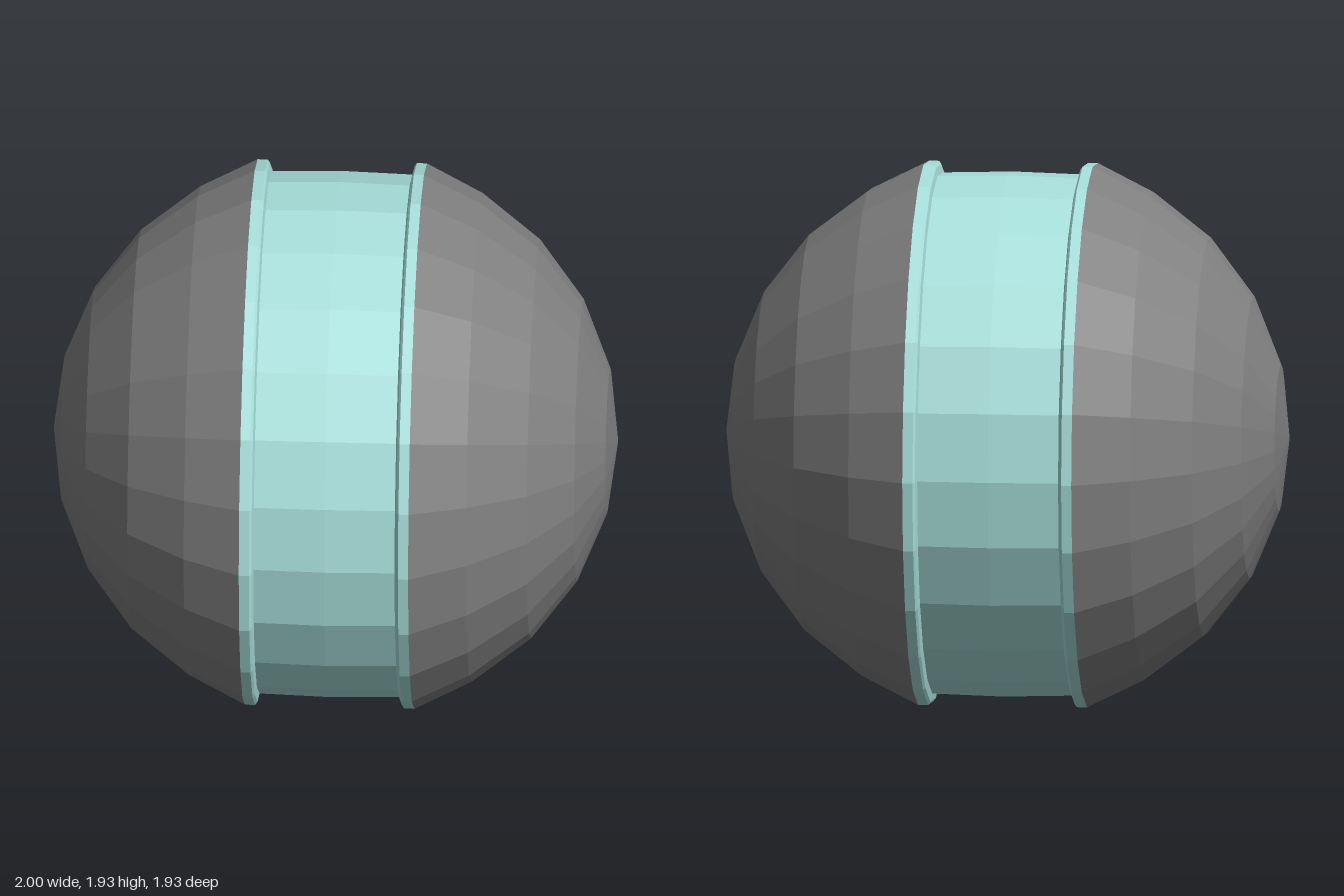
import * as THREE from 'three';

const SIDES = 24;
const STEP = Math.PI / 12;

export function createModel() {
  const model = new THREE.Group();
  const dark = new THREE.MeshStandardMaterial({ color: 0x808080, flatShading: true });
  const teal = new THREE.MeshStandardMaterial({ color: 0xa8e0dc, flatShading: true });

  // Turns a profile of [x, radius] points, listed with x rising, around the x axis
  function turned(name, profile, material) {
    const geometry = new THREE.LatheGeometry(profile.map(([x, r]) => new THREE.Vector2(r, x)), SIDES);
    geometry.rotateZ(-Math.PI / 2);
    const mesh = new THREE.Mesh(geometry, material);
    mesh.name = name;
    return mesh;
  }

  // Faceted dome, from the rim beside the band out to the pole
  const dome = [[0.3, 0.966]];
  for (let i = 4; i >= 0; i--) dome.push([Math.cos(i * STEP), Math.sin(i * STEP)]);

  // Raised rim with a slightly sloped inner wall down to the band
  const rim = [[0.25, 0.925], [0.256, 0.955], [0.264, 0.966], [0.3, 0.966]];

  // Each half is the same dome and rim, turned to face its own side
  for (const side of ['left', 'right']) {
    const half = new THREE.Group();
    half.name = side + 'Half';
    half.add(turned(side + 'Dome', dome, dark), turned(side + 'Rim', rim, teal));
    if (side === 'right') half.rotation.y = Math.PI;
    model.add(half);
  }

  // Recessed band around the middle
  model.add(turned('centreBand', [[-0.25, 0.925], [0, 0.932], [0.25, 0.925]], teal));

  model.position.y = 0.966;
  const root = new THREE.Group();
  root.name = 'bandedBall';
  root.add(model);
  return root;
}
